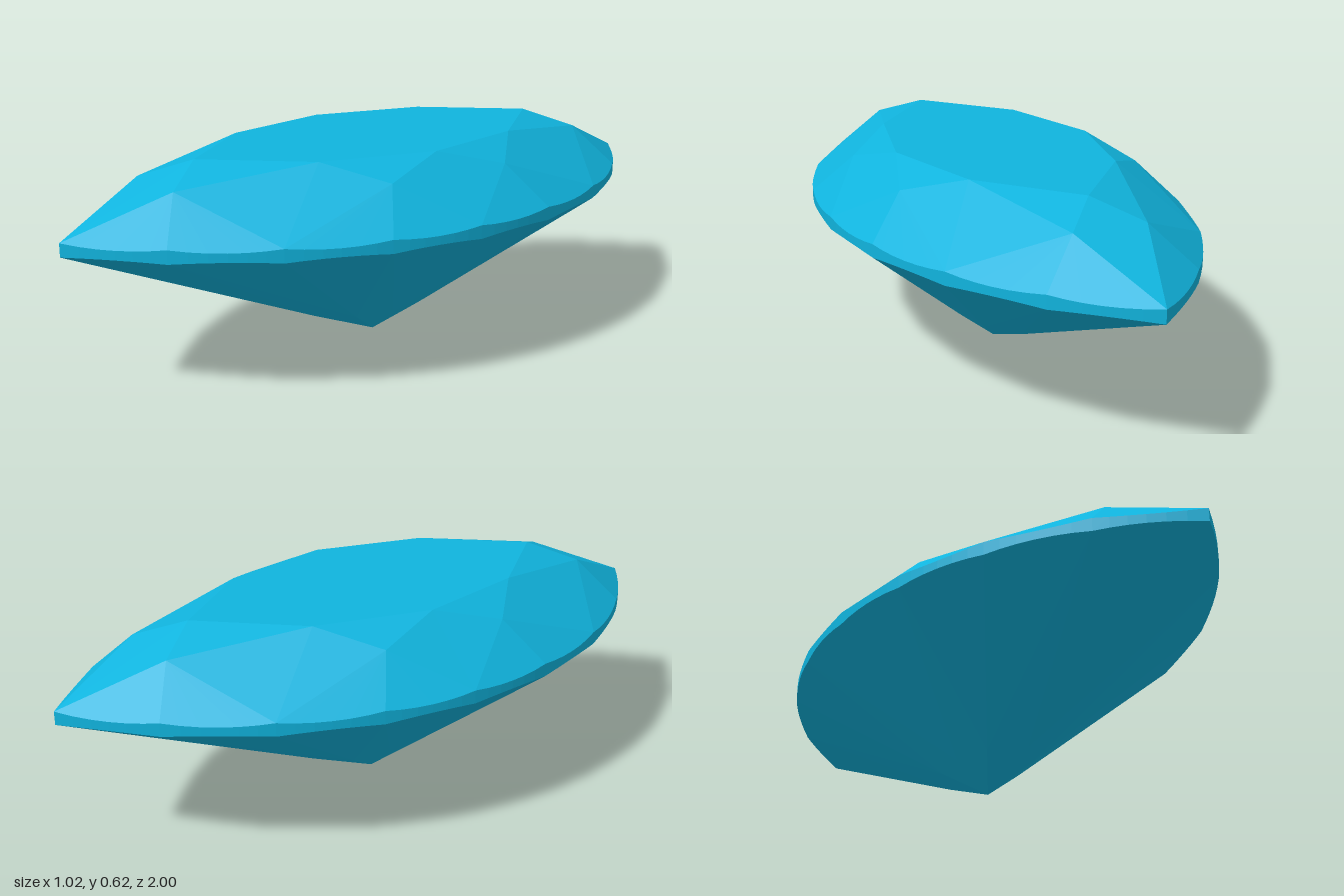
import * as THREE from 'three';

// Outline: two circular arcs meeting in points at z = -1 and z = 1
const HALF_WIDTH = 0.512;
const R = (1 + HALF_WIDTH ** 2) / (2 * HALF_WIDTH);
const outlineX = (z) => Math.sqrt(R * R - z * z) - (R - HALF_WIDTH);
const V = (x, y, z) => new THREE.Vector3(x, y, z);
const CENTRE = V(0, 0.44, 0);
const STEPS = 6;

// Facet soup mirrored from one quadrant to all four; each triangle is turned outward
function facetMesh(name, triangles, material) {
  const positions = [];
  for (const sx of [1, -1]) for (const sz of [1, -1]) {
    for (const tri of triangles) {
      const [a, b, c] = tri.map((p) => V(p.x * sx, p.y, p.z * sz));
      const normal = b.clone().sub(a).cross(c.clone().sub(a));
      const outward = normal.dot(a.clone().add(b).add(c).divideScalar(3).sub(CENTRE)) > 0;
      for (const p of outward ? [a, b, c] : [a, c, b]) positions.push(p.x, p.y, p.z);
    }
  }
  const geometry = new THREE.BufferGeometry();
  geometry.setAttribute('position', new THREE.Float32BufferAttribute(positions, 3));
  geometry.computeVertexNormals();
  const mesh = new THREE.Mesh(geometry, material);
  mesh.name = name;
  return mesh;
}

// Scalloped girdle edge: where the flat facet through p, a, b cuts the curved outline
function scallop(p, a, b) {
  const plane = new THREE.Plane().setFromCoplanarPoints(p, a, b);
  const n = plane.normal;
  return Array.from({ length: STEPS + 1 }, (_, i) => {
    const z = THREE.MathUtils.lerp(a.z, b.z, i / STEPS);
    const x = outlineX(z);
    return V(x, -(plane.constant + n.x * x + n.z * z) / n.y, z);
  });
}

const fan = (p, edge) => edge.slice(1).map((q, i) => [p, edge[i], q]);

export function createModel() {
  const material = new THREE.MeshStandardMaterial({ color: 0x10b4de, flatShading: true });

  // One quadrant, from the side (+x) to the tip (+z)
  const girdleZ = [0, 0.275, 0.55, 0.8, 1];
  const upper = girdleZ.map((z) => V(outlineX(z), 0.457, z));
  const lower = girdleZ.map((z) => V(outlineX(z), 0.418, z));
  const tableCorners = [V(0.308, 0.625, 0), V(0.225, 0.625, 0.34), V(0, 0.625, 0.6)];
  const starTips = [V(0.372, 0.574, 0.2), V(0.107, 0.574, 0.72)];
  const culet = V(0, 0, 0);
  const keelPoints = [0, 2, 4].map((i) => V(lower[i].x * 0.21, 0.083, lower[i].z * 0.21));

  const table = fan(V(0, 0.625, 0), tableCorners);
  const crown = [], girdle = [], pavilion = [];

  for (let s = 0; s < 2; s++) {
    const star = starTips[s];
    const mid = 2 * s + 1;
    crown.push([tableCorners[s], tableCorners[s + 1], star]);
    for (const side of [0, 1]) {
      const main = 2 * (s + side);
      const keel = keelPoints[s + side];
      // Half of a crown kite, then the half facet running to the girdle
      crown.push([tableCorners[s + side], star, upper[main]]);
      const top = scallop(star, upper[main], upper[mid]);
      crown.push(...fan(star, top));
      // Half of a pavilion main, then the half facet running to the girdle
      pavilion.push([culet, keel, lower[mid]]);
      const bottom = scallop(keel, lower[main], lower[mid]);
      pavilion.push(...fan(keel, bottom));
      // Thin upright band between both scalloped edges
      for (let i = 0; i < STEPS; i++) {
        girdle.push([bottom[i], bottom[i + 1], top[i]], [bottom[i + 1], top[i + 1], top[i]]);
      }
    }
  }

  const gem = new THREE.Group();
  gem.name = 'marquiseGem';
  gem.add(
    facetMesh('table', table, material),
    facetMesh('crown', crown, material),
    facetMesh('girdle', girdle, material),
    facetMesh('pavilion', pavilion, material),
  );
  return gem;
}
